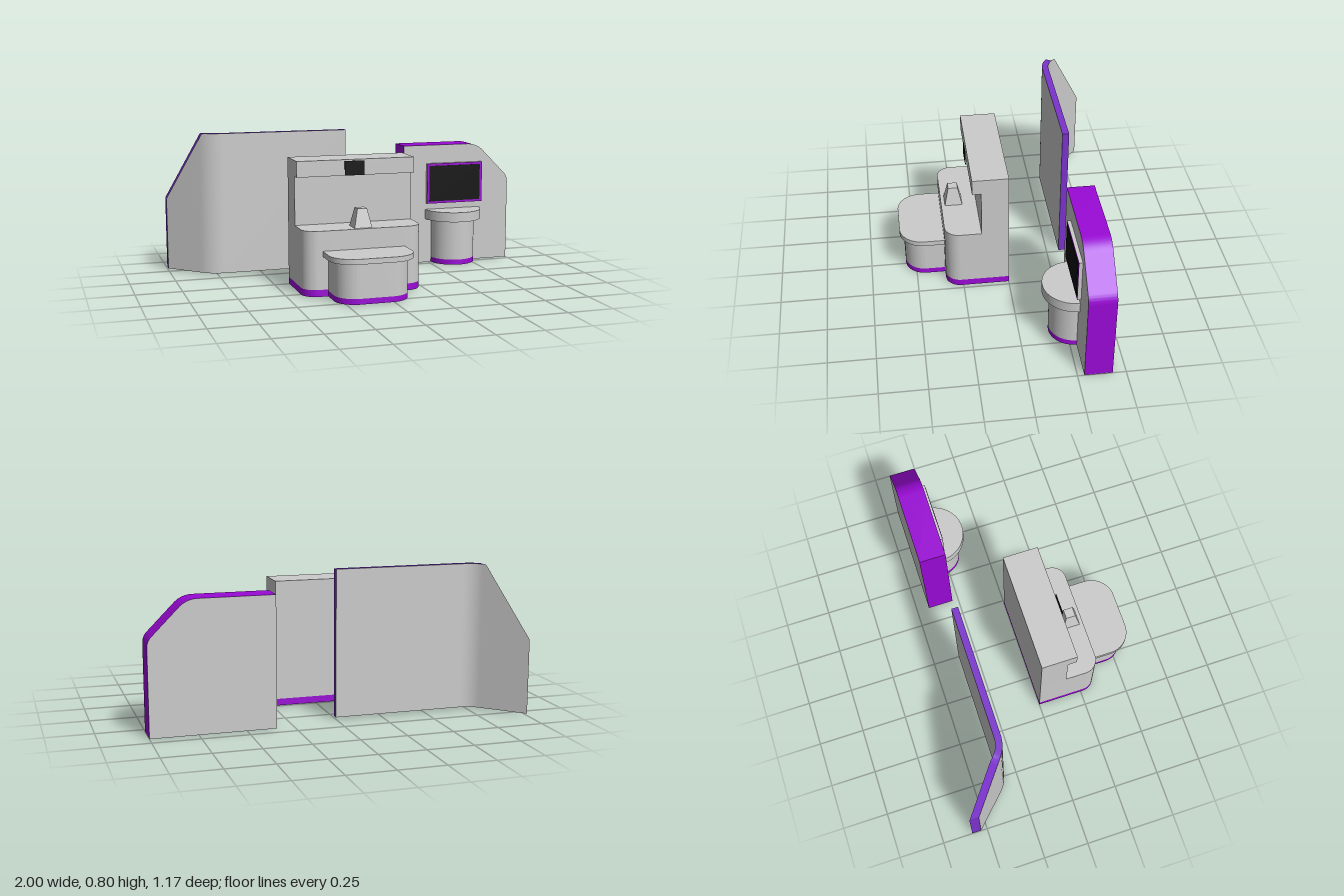
import * as THREE from 'three';
import { toCreasedNormals } from 'three/addons/utils/BufferGeometryUtils.js';

const mat = (color) => new THREE.MeshStandardMaterial({ color });
const grey = mat(0xcccccc);
const violet = mat(0x9a0ad6);
const trim = mat(0x7a33cc);
const black = mat(0x0c0c0c);

function add(parent, name, geometry, material) {
  const mesh = new THREE.Mesh(geometry, material);
  mesh.name = name;
  parent.add(mesh);
  return mesh;
}

// Box given by its limits on each axis
function box(parent, name, material, x0, x1, y0, y1, z0, z1) {
  const g = new THREE.BoxGeometry(x1 - x0, y1 - y0, z1 - z0);
  g.translate((x0 + x1) / 2, (y0 + y1) / 2, (z0 + z1) / 2);
  return add(parent, name, g, material);
}

// Floor plan with rounded front corners, raised from y0 to y1
function slab(parent, name, material, [x0, x1, z0, z1, r], y0, y1) {
  const s = new THREE.Shape();
  s.moveTo(x0, -z0);
  s.lineTo(x0, -z1 + r);
  s.absarc(x0 + r, -z1 + r, r, Math.PI, Math.PI * 1.5, false);
  s.absarc(x1 - r, -z1 + r, r, Math.PI * 1.5, Math.PI * 2, false);
  s.lineTo(x1, -z0);
  s.closePath();
  const g = new THREE.ExtrudeGeometry(s, { depth: y1 - y0, bevelEnabled: false, curveSegments: 12 });
  g.rotateX(-Math.PI / 2).translate(0, y0, 0);
  return add(parent, name, toCreasedNormals(g, 0.6), material);
}

// Surface between two matching rows of points
function strip(parent, name, material, lower, upper) {
  const g = new THREE.BufferGeometry().setFromPoints([...lower, ...upper]);
  const n = lower.length, index = [];
  for (let i = 0; i < n - 1; i++) index.push(i, i + 1, n + i + 1, i, n + i + 1, n + i);
  g.setIndex(index);
  g.computeVertexNormals();
  return add(parent, name, g, material);
}

// Bent backdrop panel with a sloped top at its swept-back end
function backdrop() {
  const group = new THREE.Group();
  group.name = 'backdropWall';
  const cx = -0.713, cz = -0.485, bottom = 0.01;
  const face = (r) => {
    const pts = [[0, cz + r]];
    for (let i = 0; i <= 9; i++) {
      const a = (i / 9) * Math.PI / 4;
      pts.push([cx - r * Math.sin(a), cz + r * Math.cos(a)]);
    }
    const [ex, ez] = pts[pts.length - 1];
    pts.push([ex - 0.014, ez - 0.014], [-1, ez - (ex + 1)]);
    return pts.reverse();
  };
  const height = (x) => 0.8 - 0.385 * Math.max(0, (-0.82 - x) / 0.18);
  const rows = (pts) => [
    pts.map(([x, z]) => new THREE.Vector3(x, bottom, z)),
    pts.map(([x, z]) => new THREE.Vector3(x, height(x), z)),
  ];
  const [fb, ft] = rows(face(0.168));
  const [bb, bt] = rows(face(0.132));
  const e = fb.length - 1;
  strip(group, 'wallFront', grey, fb, ft);
  strip(group, 'wallBack', grey, [...bb].reverse(), [...bt].reverse());
  strip(group, 'wallTopEdge', trim, ft, bt);
  strip(group, 'wallBottomEdge', grey, bb, fb);
  strip(group, 'wallInnerEnd', trim, [fb[e], bb[e]], [ft[e], bt[e]]);
  strip(group, 'wallOuterEnd', trim, [bb[0], fb[0]], [bt[0], ft[0]]);
  return group;
}

// Counter with upright back, overhanging head and lower front bench
function counter() {
  const group = new THREE.Group();
  group.name = 'counter';
  const body = [-0.42, 0.23, 0, 0.342, 0.08];
  slab(group, 'counterPlinth', violet, body, 0.003, 0.04);
  slab(group, 'counterBody', grey, body, 0.04, 0.35);
  box(group, 'counterBackPanel', grey, -0.42, 0.23, 0.35, 0.612, 0, 0.147);
  box(group, 'counterHead', grey, -0.42, 0.23, 0.612, 0.697, 0, 0.195);
  box(group, 'headDisplay', black, -0.16, -0.053, 0.613, 0.69, 0.2, 0.204);

  const bench = [-0.293, 0.1, 0.342, 0.556, 0.11];
  slab(group, 'benchPlinth', violet, bench, 0.003, 0.033);
  slab(group, 'benchBody', grey, bench, 0.033, 0.216);
  slab(group, 'benchTop', grey, [-0.322, 0.128, 0.342, 0.582, 0.13], 0.216, 0.244);

  // Tapered stand on the worktop
  const taper = new THREE.CylinderGeometry(0.026 * Math.SQRT2, 0.048 * Math.SQRT2, 0.1, 4).toNonIndexed();
  taper.rotateY(Math.PI / 4).translate(-0.095, 0.4, 0.274);
  taper.computeVertexNormals();
  add(group, 'taperedStand', taper, grey);
  return group;
}

// Upright booth with one sloped shoulder, a screen and a half-round table
function booth() {
  const group = new THREE.Group();
  group.name = 'booth';
  const s = new THREE.Shape();
  s.moveTo(0.343, 0.004);
  s.lineTo(1, 0.004);
  s.lineTo(1, 0.46);
  s.quadraticCurveTo(1, 0.495, 0.976, 0.518);
  s.lineTo(0.84, 0.655);
  s.quadraticCurveTo(0.8, 0.697, 0.74, 0.697);
  s.lineTo(0.343, 0.697);
  s.closePath();
  const g = new THREE.ExtrudeGeometry(s, { depth: 0.145, bevelEnabled: false, curveSegments: 10 });
  g.translate(0, 0, -0.43);
  add(group, 'boothPanel', toCreasedNormals(g, 0.5), [grey, violet]);
  box(group, 'boothUnderside', grey, 0.343, 1, 0, 0.004, -0.43, -0.285);

  box(group, 'screenHousing', grey, 0.483, 0.828, 0.354, 0.59, -0.285, -0.267);
  box(group, 'screenFrame', violet, 0.483, 0.828, 0.354, 0.59, -0.267, -0.265);
  box(group, 'screen', black, 0.496, 0.813, 0.367, 0.577, -0.265, -0.263);

  const half = (name, material, r, y0, y1) => {
    const c = new THREE.CylinderGeometry(r, r, y1 - y0, 32, 1, false, -Math.PI / 2, Math.PI);
    c.translate(0.647, (y0 + y1) / 2, -0.285);
    add(group, name, c, material);
  };
  half('tablePlinth', violet, 0.13, 0.002, 0.032);
  half('tablePillar', grey, 0.13, 0.032, 0.262);
  half('tableTop', grey, 0.168, 0.262, 0.318);
  return group;
}

export function createModel() {
  const model = new THREE.Group();
  model.name = 'exhibitionStand';
  model.add(backdrop(), counter(), booth());
  return model;
}
